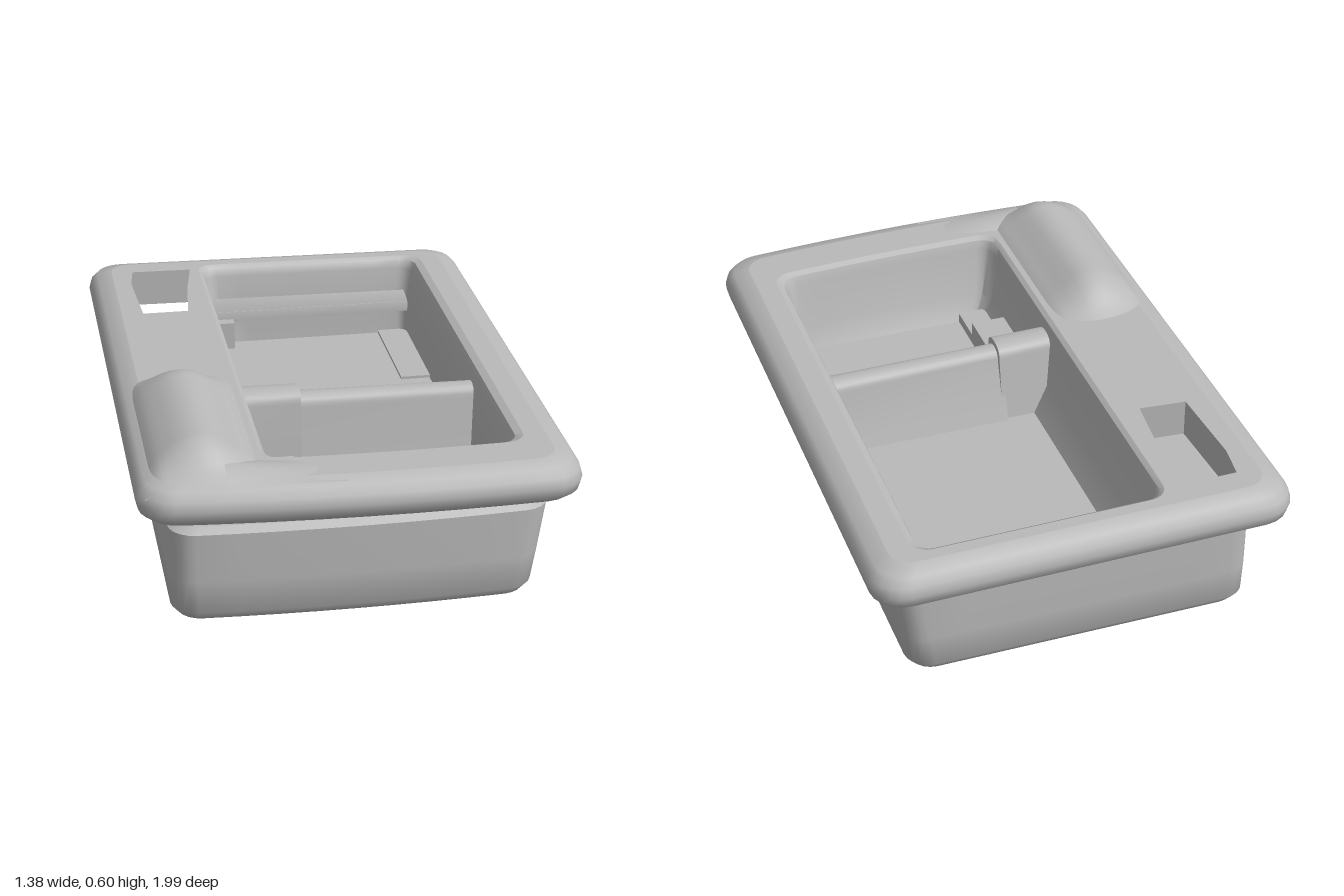
import * as THREE from 'three';
import { toCreasedNormals, mergeVertices } from 'three/addons/utils/BufferGeometryUtils.js';

const shell = new THREE.MeshStandardMaterial({ color: 0xb9b9b9, side: THREE.DoubleSide });
shell.name = 'light grey plastic';

// Rounded rectangle as a loop of [x, z] points, with subdivided straight sides
function roundRect(x0, x1, z0, z1, r, seg = 5, side = 8) {
  const pts = [];
  const corners = [[x1 - r, z1 - r], [x0 + r, z1 - r], [x0 + r, z0 + r], [x1 - r, z0 + r]];
  corners.forEach(([cx, cz], k) => {
    for (let i = 0; i <= seg; i++) {
      const a = (k + i / seg) * Math.PI / 2;
      pts.push([cx + r * Math.cos(a), cz + r * Math.sin(a)]);
    }
    const end = pts[pts.length - 1], [nx, nz] = corners[(k + 1) % 4];
    const b = (k + 1) * Math.PI / 2;
    const next = [nx + r * Math.cos(b), nz + r * Math.sin(b)];
    for (let i = 1; i < side; i++) {
      const t = i / side;
      pts.push([end[0] + (next[0] - end[0]) * t, end[1] + (next[1] - end[1]) * t]);
    }
  });
  return pts;
}

// Skin between loops given as { y, pts }; rising loops face outward, falling ones inward
function loft(rows) {
  const n = rows[0].pts.length, pos = [], idx = [];
  rows.forEach(({ y, pts }) => pts.forEach(([x, z]) => pos.push(x, y, z)));
  for (let j = 0; j < rows.length - 1; j++) {
    for (let i = 0; i < n; i++) {
      const a = j * n + i, b = j * n + (i + 1) % n;
      idx.push(a, a + n, b, b, a + n, b + n);
    }
  }
  const g = new THREE.BufferGeometry();
  g.setAttribute('position', new THREE.Float32BufferAttribute(pos, 3));
  g.setIndex(idx);
  return g;
}

// Flat horizontal sheet with holes
function sheet(y, outline, holes = [], up = true) {
  const s = up ? -1 : 1;
  const vec = (loop) => loop.map(([x, z]) => new THREE.Vector2(x, s * z));
  const shape = new THREE.Shape(vec(outline));
  holes.forEach((h) => shape.holes.push(new THREE.Path(vec(h))));
  return new THREE.ShapeGeometry(shape).rotateX(s * Math.PI / 2).translate(0, y, 0);
}

// Bow the front end outward and tilt the rim slightly
function warp(g) {
  const p = g.attributes.position;
  for (let i = 0; i < p.count; i++) {
    const x = p.getX(i), y = p.getY(i), z = p.getZ(i);
    if (z > 0.7) p.setZ(i, z + 0.03 * Math.max(0, 1 - (x / 0.68) ** 2));
    if (y > 0.36) p.setY(i, y - 0.012 * x + 0.004 * z);
  }
  return g;
}

function table(points, v) {
  if (v <= points[0][0]) return points[0][1];
  for (let i = 1; i < points.length; i++) {
    const [a, fa] = points[i - 1], [b, fb] = points[i];
    if (v <= b) return fa + (fb - fa) * (v - a) / (b - a);
  }
  return points[points.length - 1][1];
}

export function createModel() {
  const model = new THREE.Group();
  const add = (name, g, crease = 0.6) => {
    g.deleteAttribute('uv');
    g.deleteAttribute('normal');
    const mesh = new THREE.Mesh(toCreasedNormals(warp(mergeVertices(g)), crease), shell);
    mesh.name = name;
    model.add(mesh);
  };

  // Lower tub
  const tub = (i, r, flare = 0) => roundRect(-0.59 + i, 0.555 + flare - i, -0.885 + i, 0.865 - i, r);
  const tubBase = tub(0.06, 0.06), tubTop = tub(0.025, 0.07, 0.04);
  add('tubWall', loft([
    { y: 0, pts: tubBase },
    { y: 0.01, pts: tub(0.025, 0.07) },
    { y: 0.04, pts: tub(0.003, 0.08) },
    { y: 0.15, pts: tub(0, 0.08, 0.015) },
    { y: 0.31, pts: tub(0, 0.08, 0.04) },
    { y: 0.328, pts: tubTop },
  ]), 0.8);
  add('tubBottom', sheet(0, tubBase, [], false));
  const neckLow = roundRect(-0.33, 0.585, -0.82, 0.72, 0.04);
  const neckHigh = roundRect(-0.33, 0.64, -0.84, 0.73, 0.04);
  add('tubShoulder', sheet(0.328, tubTop, [neckLow]));

  // Neck joining the tub to the rim
  add('neck', loft([
    { y: 0.29, pts: neckLow },
    { y: 0.32, pts: roundRect(-0.33, 0.6, -0.82, 0.72, 0.04) },
    { y: 0.376, pts: neckHigh },
  ]));

  // Overhanging rim with rounded outer edge
  const rim = (i) => roundRect(-0.69 + i, 0.685 - i, -0.995 + i, 0.97 - i, 0.11 - i * 0.5);
  const rimUnder = rim(0.06), rimTop = rim(0.08);
  add('rimEdge', loft([
    { y: 0.372, pts: rimUnder },
    { y: 0.376, pts: rim(0.03) },
    { y: 0.395, pts: rim(0.008) },
    { y: 0.43, pts: rim(0) },
    { y: 0.46, pts: rim(0.008) },
    { y: 0.485, pts: rim(0.03) },
    { y: 0.5, pts: rimTop },
  ]), 0.9);
  const slot = [[-0.38, -0.415], [-0.535, -0.43], [-0.55, -0.72], [-0.535, -0.835], [-0.325, -0.835], [-0.355, -0.65]];
  const opening = roundRect(-0.295, 0.535, -0.875, 0.76, 0.06);
  add('rimTop', sheet(0.5, rimTop, [opening, slot]));
  add('rimUnderside', sheet(0.372, rimUnder, [neckHigh, slot], false));
  add('slotWall', loft([{ y: 0.5, pts: slot }, { y: 0.372, pts: slot }]), 0.3);

  // Basin lining and floor
  const floor = roundRect(-0.2, 0.485, -0.84, 0.69, 0.03);
  add('basinWall', loft([
    { y: 0.5, pts: opening },
    { y: 0.49, pts: roundRect(-0.28, 0.512, -0.86, 0.74, 0.05) },
    { y: 0.46, pts: roundRect(-0.272, 0.5, -0.85, 0.73, 0.05) },
    { y: 0.29, pts: roundRect(-0.25, 0.49, -0.845, 0.71, 0.04) },
    { y: 0.2, pts: floor },
  ]), 0.7);
  add('basinFloor', sheet(0.2, floor));

  // Divider between the rear and front basins, with a broad root on one side
  const bar = (name, x0, x1, z0, z1, top, foot) => {
    const s = new THREE.Shape();
    s.moveTo(z0 - foot, 0.19);
    s.lineTo(z0, top - 0.04);
    s.quadraticCurveTo(z0, top, (z0 + z1) / 2, top);
    s.quadraticCurveTo(z1, top, z1, top - 0.04);
    s.lineTo(z1 + foot * 0.5, 0.19);
    s.closePath();
    const g = new THREE.ExtrudeGeometry(s, { depth: x1 - x0, bevelEnabled: false, curveSegments: 5 });
    add(name, g.rotateY(-Math.PI / 2).translate(x1, 0, 0), 0.7);
  };
  bar('divider', -0.1, 0.5, 0.13, 0.215, 0.44, 0.07);
  bar('dividerRoot', -0.285, -0.085, 0.115, 0.23, 0.46, 0.04);

  // Small ledges inside the basins
  const block = (name, x0, x1, y0, y1, z0, z1) => add(name,
    new THREE.BoxGeometry(x1 - x0, y1 - y0, z1 - z0).translate((x0 + x1) / 2, (y0 + y1) / 2, (z0 + z1) / 2));
  block('frontBasinFloor', -0.22, 0.475, 0.19, 0.215, 0.22, 0.69);
  block('frontBasinLedge', -0.24, -0.13, 0.2, 0.25, 0.26, 0.69);
  block('frontBasinStep', -0.25, -0.13, 0.2, 0.3, 0.36, 0.54);
  block('rearCornerLedge', 0.38, 0.49, 0.19, 0.21, -0.84, -0.4);
  block('rearCornerPost', -0.24, -0.17, 0.19, 0.3, -0.845, -0.78);

  // Raised rounded hump on the rim
  const across = [[-0.665, 0], [-0.61, 0.42], [-0.56, 0.76], [-0.52, 0.94], [-0.48, 1], [-0.44, 0.92], [-0.4, 0.68], [-0.35, 0.34], [-0.285, 0]];
  const along = [[0.08, 0], [0.14, 0.25], [0.22, 0.8], [0.28, 1], [0.77, 1], [0.82, 0.8], [0.86, 0.4], [0.93, 0]];
  const base = [[-0.665, 0.455], [-0.62, 0.483], [-0.33, 0.488], [-0.285, 0.475]];
  const hump = new THREE.PlaneGeometry(0.38, 0.85, 20, 32).rotateX(-Math.PI / 2).translate(-0.475, 0, 0.505);
  const p = hump.attributes.position;
  for (let i = 0; i < p.count; i++) {
    const x = p.getX(i);
    p.setY(i, table(base, x) + 0.102 * table(across, x) * table(along, p.getZ(i)));
  }
  add('hump', hump, 0.9);

  // Low swell running from the hump along the front of the rim
  const swell = new THREE.PlaneGeometry(0.36, 0.17, 12, 8).rotateX(-Math.PI / 2).translate(-0.24, 0, 0.84);
  const q = swell.attributes.position;
  for (let i = 0; i < q.count; i++) {
    const t = (q.getX(i) + 0.42) / 0.36, w = Math.cos((q.getZ(i) - 0.84) / 0.17 * Math.PI);
    q.setY(i, 0.492 + 0.038 * (1 - t) * w);
  }
  add('frontSwell', swell, 0.9);

  return model;
}
